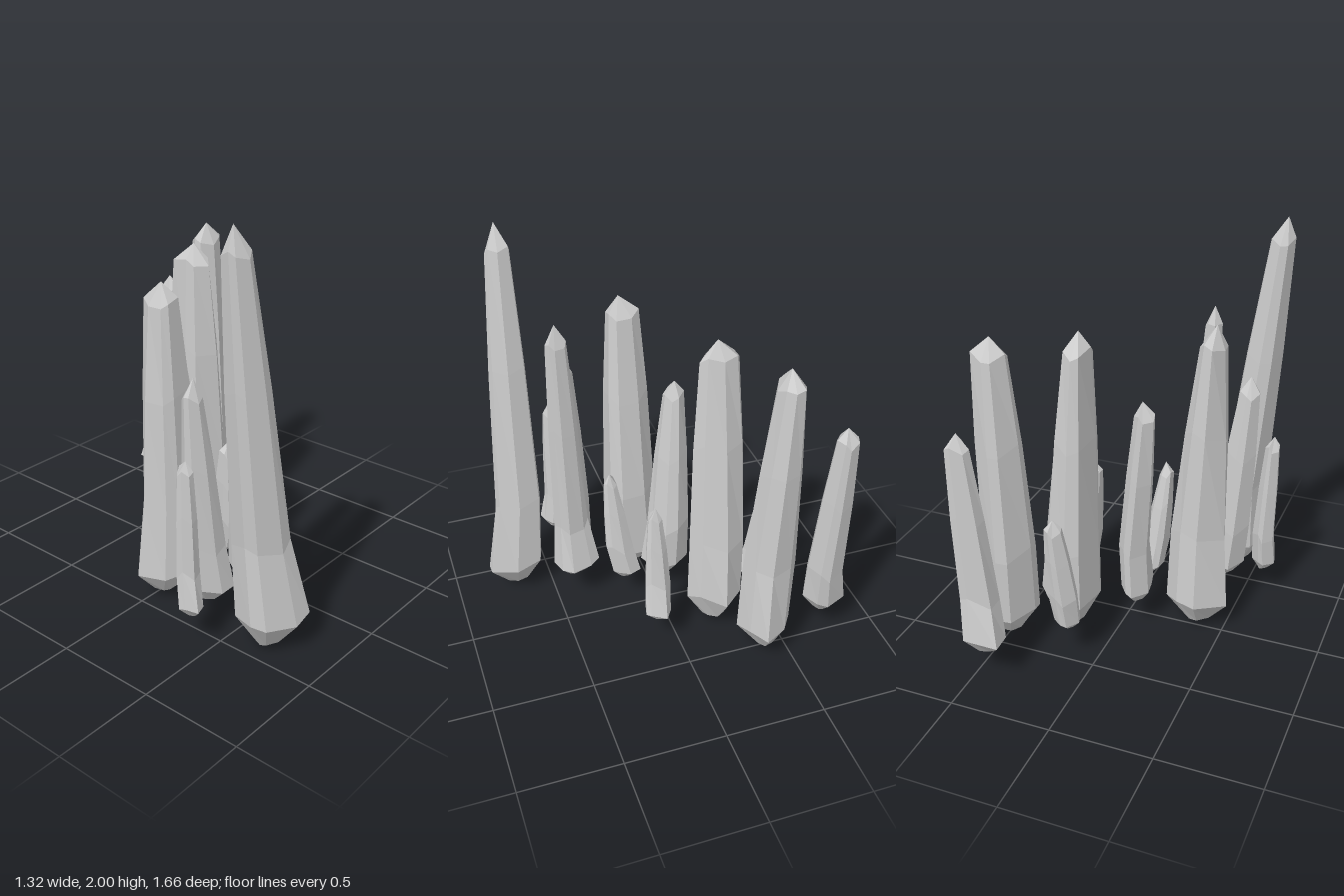
import * as THREE from 'three';

const SIDES = 8;
const material = new THREE.MeshStandardMaterial({ color: 0xcccccc, flatShading: true });
const mix = (a, b, t) => a + (b - a) * t;

// Uneven polygon with one spur corner, fitted to the box [y, x0, x1, z0, z1]
function makeRing([y, x0, x1, z0, z1], angle, spur, seed, tilt = 0) {
  const pts = [];
  for (let i = 0; i < SIDES; i++) {
    const a = angle + (i + 0.22 * Math.sin(i * 2.7 + seed)) * Math.PI * 2 / SIDES;
    const r = i === 0 ? spur : 1 + 0.05 * Math.sin(i * 4.1 + seed);
    pts.push([Math.cos(a) * r, y + tilt * Math.sin(i * 1.9 + seed), Math.sin(a) * r]);
  }
  const fit = (k, lo, hi) => {
    const v = pts.map(p => p[k]);
    const min = Math.min(...v), max = Math.max(...v);
    pts.forEach(p => { p[k] = mix(lo, hi, (p[k] - min) / (max - min)); });
  };
  fit(0, x0, x1);
  fit(2, z0, z1);
  return pts;
}

// Shrinks or grows a box about its own middle
function scaleBox([y, x0, x1, z0, z1], s) {
  const cx = (x0 + x1) / 2, cz = (z0 + z1) / 2;
  return [y, cx + (x0 - cx) * s, cx + (x1 - cx) * s, cz + (z0 - cz) * s, cz + (z1 - cz) * s];
}

// One shard: blunt foot, flared base, neck, long tapering body, shoulder and pointed tip
function makeCrystal(name, spurDir, bottom, base, neck, shoulder, tip) {
  const angle = Math.atan2(spurDir[1], spurDir[0]);
  const seed = angle * 3;
  const foot = scaleBox(base, 0.58).map((v, i) =>
    i === 0 ? mix(bottom[1], base[0], 0.22) : mix(v, bottom[i < 3 ? 0 : 2], 0.3));
  const body = scaleBox(neck.map((v, i) => mix(v, shoulder[i], 0.55)), 1.07);
  const rings = [
    makeRing(foot, angle, 1.1, seed),
    makeRing(base, angle, 1.28, seed, 0.12 * (base[0] - bottom[1])),
    makeRing(neck, angle, 1.15, seed, 0.03),
    makeRing(body, angle, 1.08, seed, 0.03),
    makeRing(shoulder, angle, 1, seed, 0.02),
  ];
  const pos = [];
  const tri = (...p) => p.forEach(v => pos.push(...v));
  for (let i = 0; i < SIDES; i++) {
    const j = (i + 1) % SIDES;
    tri(bottom, rings[0][i], rings[0][j]);
    for (let k = 0; k < rings.length - 1; k++) {
      const lo = rings[k], hi = rings[k + 1];
      tri(lo[i], hi[i], hi[j]);
      tri(lo[i], hi[j], lo[j]);
    }
    const top = rings[rings.length - 1];
    tri(top[i], tip, top[j]);
  }
  const geo = new THREE.BufferGeometry();
  geo.setAttribute('position', new THREE.Float32BufferAttribute(pos, 3));
  geo.computeVertexNormals();
  const mesh = new THREE.Mesh(geo, material);
  mesh.name = name;
  return mesh;
}

export function createModel() {
  const group = new THREE.Group();
  group.name = 'crystalCluster';
  const add = (...args) => group.add(makeCrystal(...args));

  // Tallest shard at the front
  add('tallCrystal', [1, 1], [-0.38, 0, 0.67], [0.17, -0.54, -0.24, 0.54, 0.83],
    [0.54, -0.53, -0.29, 0.52, 0.76], [1.88, -0.61, -0.49, 0.55, 0.67], [-0.57, 2, 0.61]);

  // Large shards
  add('largeCrystalBackLeft', [1, 0.2], [0.48, 0.01, -0.4], [0.16, 0.35, 0.66, -0.53, -0.26],
    [0.52, 0.35, 0.61, -0.55, -0.28], [1.53, 0.42, 0.59, -0.51, -0.38], [0.5, 1.62, -0.44]);
  add('largeCrystalMiddle', [1, 0], [0.22, 0.01, -0.21], [0.2, 0.08, 0.39, -0.38, -0.08],
    [0.52, 0.08, 0.35, -0.39, -0.09], [1.53, 0.1, 0.22, -0.34, -0.14], [0.16, 1.62, -0.23]);
  add('largeCrystalRight', [-1, -0.4], [-0.36, 0.01, 0.02], [0.17, -0.52, -0.2, -0.11, 0.17],
    [0.55, -0.49, -0.21, -0.08, 0.17], [1.53, -0.45, -0.33, -0.03, 0.13], [-0.4, 1.62, 0.07]);

  // Medium shards
  add('mediumCrystalFront', [0.1, -1], [-0.18, 0.15, 0.42], [0.23, -0.29, -0.08, 0.28, 0.51],
    [0.45, -0.3, -0.14, 0.32, 0.49], [1.48, -0.32, -0.23, 0.37, 0.47], [-0.28, 1.58, 0.42]);
  add('mediumCrystalBack', [-1, -1], [0.46, 0.12, -0.72], [0.22, 0.35, 0.56, -0.83, -0.62],
    [0.42, 0.38, 0.58, -0.79, -0.62], [1.2, 0.47, 0.59, -0.78, -0.68], [0.53, 1.27, -0.73]);
  add('mediumCrystalCentre', [-0.5, 1], [-0.07, 0.12, -0.06], [0.21, -0.14, 0.01, -0.18, 0.06],
    [0.45, -0.13, 0.02, -0.18, 0.03], [1.19, -0.17, -0.07, -0.17, -0.07], [-0.11, 1.27, -0.12]);
  add('mediumCrystalRight', [0.6, 1], [-0.4, 0.12, 0.34], [0.21, -0.51, -0.32, 0.25, 0.46],
    [0.43, -0.53, -0.34, 0.25, 0.43], [1.18, -0.55, -0.45, 0.29, 0.38], [-0.5, 1.27, 0.34]);

  // Small shards
  add('smallCrystalFarRight', [-0.5, 1], [-0.58, 0.15, 0.4], [0.21, -0.66, -0.54, 0.35, 0.48],
    [0.37, -0.65, -0.54, 0.33, 0.45], [0.88, -0.65, -0.58, 0.35, 0.43], [-0.62, 0.94, 0.4]);
  add('smallCrystalLeft', [1, -0.2], [0.31, 0.16, 0.09], [0.21, 0.23, 0.38, 0.04, 0.17],
    [0.36, 0.2, 0.33, 0.03, 0.16], [0.73, 0.19, 0.26, 0.06, 0.13], [0.23, 0.79, 0.09]);
  add('smallCrystalCentre', [0.7, -1], [-0.05, 0.16, 0.18], [0.21, -0.12, 0, 0.09, 0.23],
    [0.36, -0.14, -0.01, 0.12, 0.26], [0.73, -0.15, -0.08, 0.18, 0.25], [-0.11, 0.79, 0.22]);
  add('smallCrystalBack', [-0.3, 1], [0.14, 0.16, -0.46], [0.21, 0.08, 0.2, -0.53, -0.38],
    [0.36, 0.08, 0.22, -0.55, -0.42], [0.73, 0.14, 0.22, -0.56, -0.47], [0.18, 0.79, -0.52]);

  return group;
}
